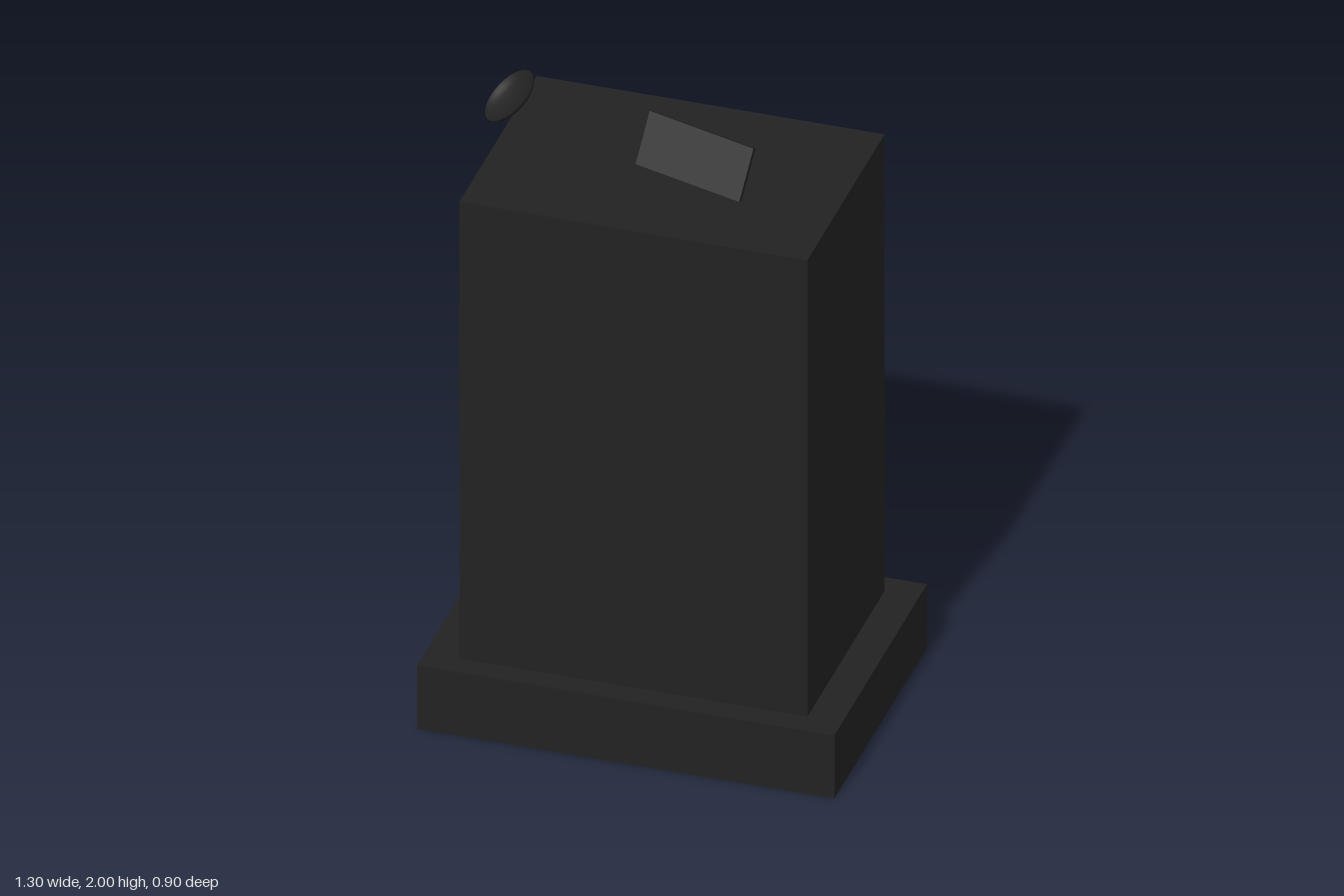
import * as THREE from 'three';

export function createModel() {
  const model = new THREE.Group();
  const charcoal = new THREE.MeshStandardMaterial({ color: 0x222222 });
  charcoal.name = 'charcoal';

  const add = (name, geometry, x, y, z) => {
    const mesh = new THREE.Mesh(geometry, charcoal);
    mesh.name = name;
    mesh.position.set(x, y, z);
    model.add(mesh);
    return mesh;
  };

  // Tower block on a wider plinth
  add('plinth', new THREE.BoxGeometry(1.3, 0.22, 0.9), 0, 0.11, 0);
  add('tower', new THREE.BoxGeometry(1.084, 1.59, 0.75), 0, 1.015, 0);

  // Tilted roof panel, oriented by its width and normal directions
  const panel = add('roofPanel', new THREE.BoxGeometry(0.358, 0.167, 0.015), 0.097, 1.912, 0.073);
  const across = new THREE.Vector3(0.35, -0.02, 0.08).normalize();
  const normal = new THREE.Vector3(-0.011, 0.025, 0.055);
  normal.addScaledVector(across, -normal.dot(across)).normalize();
  const up = new THREE.Vector3().crossVectors(normal, across);
  panel.quaternion.setFromRotationMatrix(new THREE.Matrix4().makeBasis(across, up, normal));

  // Thin post holding the panel
  add('panelPost', new THREE.CylinderGeometry(0.008, 0.008, 0.1, 10), 0.1, 1.86, 0.067);

  // Shallow hollow dish over the roof edge: outer bowl, lip, inner bowl
  const r = 0.097;
  const profile = [
    [0, -0.026], [0.035, -0.023], [0.065, -0.015], [0.087, -0.004], [r, 0.008],
    [r - 0.004, 0.009], [0.083, 0.001], [0.062, -0.009], [0.033, -0.017], [0, -0.02],
  ].map(([x, y]) => new THREE.Vector2(x, y));
  const dish = add('dish', new THREE.LatheGeometry(profile, 28), -0.573, 1.819, -0.222);
  dish.quaternion.setFromUnitVectors(
    new THREE.Vector3(0, 1, 0),
    new THREE.Vector3(-0.6, 0.75, 0.28).normalize(),
  );

  return model;
}
